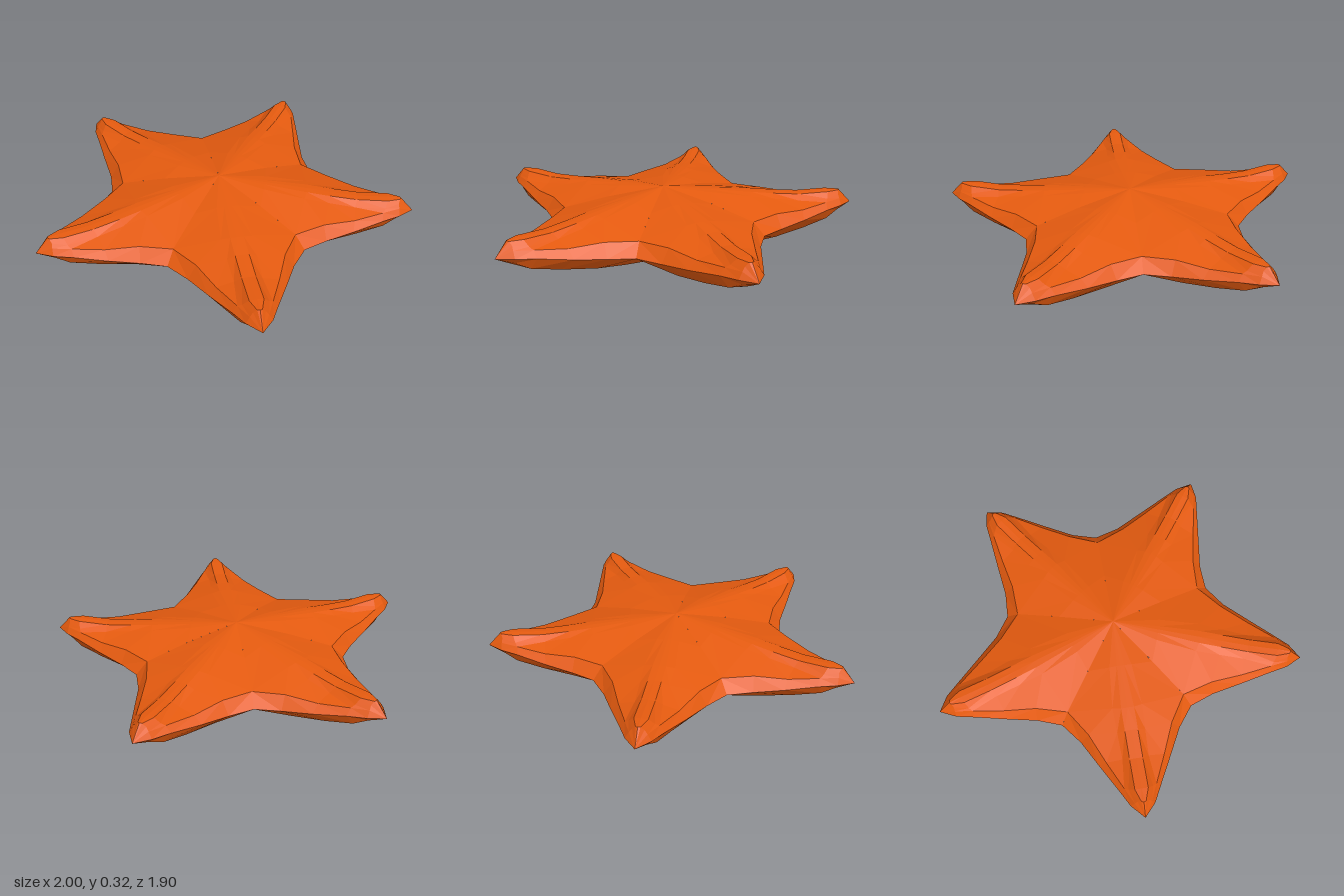
import * as THREE from 'three';

const orange = new THREE.MeshStandardMaterial({ color: 0xe45a0f, flatShading: true });
orange.name = 'orange skin';

const ARMS = 5;
const CENTRE_Z = 0.1;
const TIP = [1.05, 0, 0.2];

// Half-arm sections from tip to centre, each point [distance out, sideways, height].
// Columns: ridge, ridge edge, shoulder, inner rim, outline
const upper = [
  [TIP, TIP, TIP, TIP, TIP],
  [[0.98, 0, 0.275], [0.975, 0.012, 0.273], [0.97, 0.03, 0.255], [0.975, 0.045, 0.235], [0.98, 0.065, 0.2]],
  [[0.91, 0, 0.275], [0.91, 0.035, 0.272], [0.9, 0.065, 0.242], [0.89, 0.085, 0.228], [0.89, 0.113, 0.192]],
  [[0.75, 0, 0.266], [0.75, 0.035, 0.264], [0.74, 0.07, 0.238], [0.74, 0.155, 0.215], [0.74, 0.195, 0.17]],
  [[0.6, 0, 0.275], [0.6, 0.035, 0.274], [0.6, 0.075, 0.256], [0.58, 0.225, 0.225], [0.6, 0.27, 0.155]],
  [[0.48, 0, 0.288], [0.48, 0.035, 0.286], [0.47, 0.08, 0.276], [0.437, 0.3175, 0.22], [0.49, 0.356, 0.155]],
  [[0.25, 0, 0.306], [0.25, 0.02, 0.305], [0.25, 0.06, 0.301], [0.243, 0.1765, 0.275]],
  Array(4).fill([0, 0, 0.325]),
];
// Columns: outline, belly, keel
const lower = [
  [TIP, TIP, TIP],
  [upper[1][4], [0.97, 0.04, 0.17], [0.97, 0, 0.155]],
  [upper[2][4], [0.9, 0.07, 0.13], [0.9, 0, 0.12]],
  [upper[3][4], [0.76, 0.12, 0.1], [0.78, 0, 0.075]],
  [upper[4][4], [0.59, 0.18, 0.075], [0.6, 0, 0.055]],
  [upper[5][4], [0.45, 0.22, 0.065], [0.48, 0, 0.042]],
  [[0.36, 0.2616, 0.07], [0.3, 0.1, 0.03], [0.3, 0, 0.023]],
  Array(3).fill([0, 0, 0]),
];

// Joins neighbouring sections into triangles, mirrored across the arm
function skin(sections) {
  const positions = [];
  const face = (a, b, c, side) => {
    if (a === b || b === c || a === c) return;
    for (const [out, across, y] of side > 0 ? [a, b, c] : [a, c, b]) {
      positions.push(across * side, y, -out);
    }
  };
  for (const side of [1, -1]) {
    for (let i = 0; i < sections.length - 1; i++) {
      const p = sections[i], q = sections[i + 1];
      for (let j = 0; j < Math.min(p.length, q.length) - 1; j++) {
        face(p[j], q[j], p[j + 1], side);
        face(p[j + 1], q[j], q[j + 1], side);
      }
    }
  }
  const geometry = new THREE.BufferGeometry();
  geometry.setAttribute('position', new THREE.Float32BufferAttribute(positions, 3));
  geometry.computeVertexNormals();
  return geometry;
}

export function createModel() {
  const starfish = new THREE.Group();
  starfish.name = 'starfish';
  const top = skin(upper);
  const underside = skin(lower);

  // Five equal arms meeting at the centre
  for (let i = 0; i < ARMS; i++) {
    const arm = new THREE.Group();
    arm.name = `arm${i + 1}`;
    for (const [name, geometry] of [['armTop', top], ['armUnderside', underside]]) {
      const mesh = new THREE.Mesh(geometry, orange);
      mesh.name = name;
      arm.add(mesh);
    }
    arm.rotation.y = (i * 2 * Math.PI) / ARMS;
    arm.position.z = CENTRE_Z;
    starfish.add(arm);
  }
  return starfish;
}
